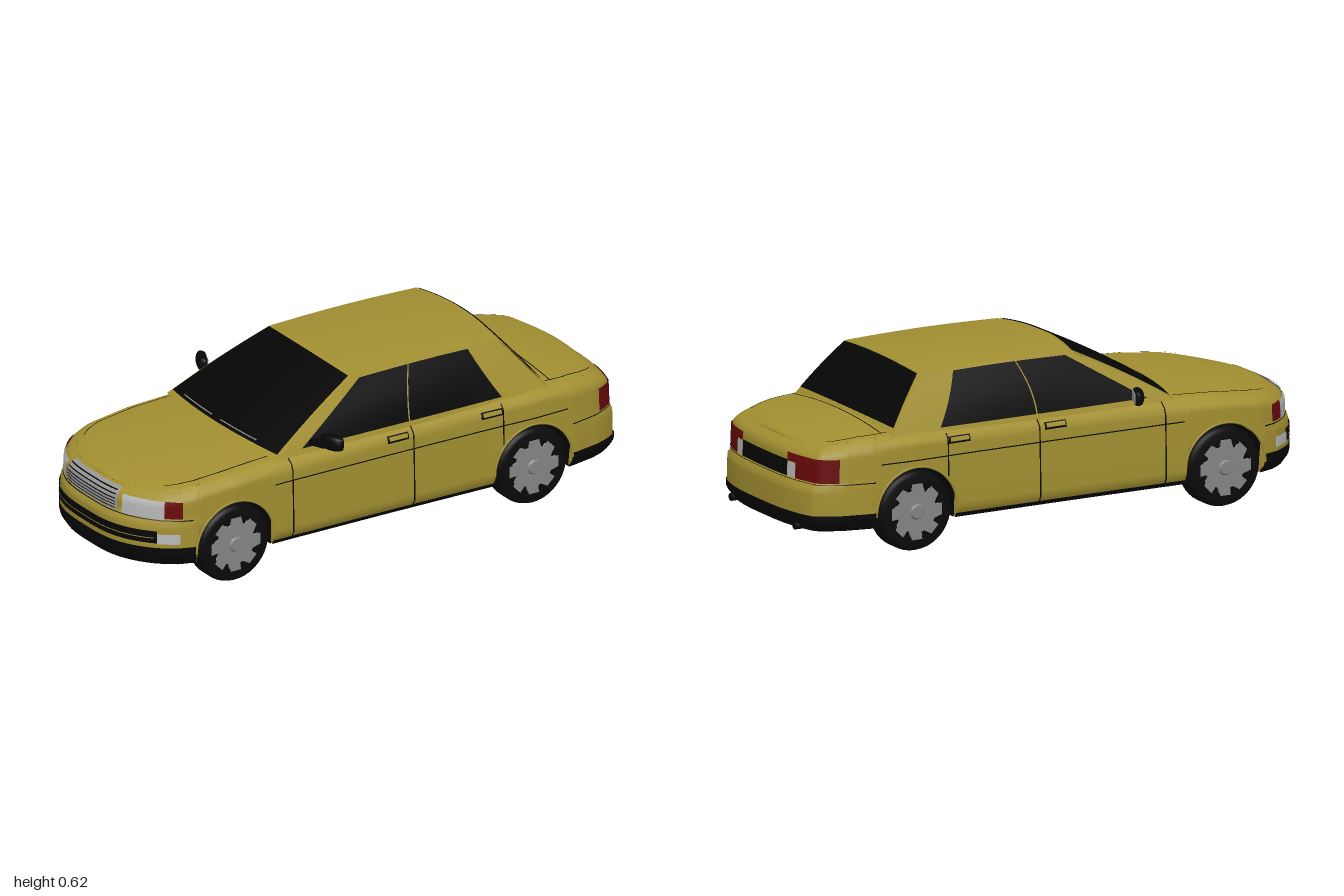
import * as THREE from 'three';

const flat = (name, color) => new THREE.MeshStandardMaterial({ name, color, side: THREE.DoubleSide });
const lerp = THREE.MathUtils.lerp, clamp = THREE.MathUtils.clamp;

// Linear interpolation through [key, value] pairs in rising key order
function table(t, k) {
  if (k <= t[0][0]) return t[0][1];
  for (let i = 1; i < t.length; i++)
    if (k <= t[i][0]) return lerp(t[i - 1][1], t[i][1], (k - t[i - 1][0]) / (t[i][0] - t[i - 1][0]));
  return t[t.length - 1][1];
}

const WIDTH = [[-0.94, 0.30], [-0.9, 0.325], [-0.85, 0.346], [-0.75, 0.367], [-0.575, 0.375], [-0.4, 0.37], [0, 0.367],
  [0.4, 0.369], [0.625, 0.373], [0.785, 0.361], [0.85, 0.338], [0.9, 0.30]];
const TOP = [[-0.985, 0.38], [-0.93, 0.39], [-0.8, 0.404], [-0.63, 0.41], [0, 0.405], [0.45, 0.395],
  [0.6, 0.387], [0.8, 0.37], [0.9, 0.357], [1, 0.347]];
const AXLES = [0.63, -0.575], ARCH = 0.155, HUB_Y = 0.14;
const REAR = 2.44; // perimeter position of the rear centre; 0 is the front centre

// Plan outline: position along the half perimeter, signed by side
function outline(p) {
  const a = Math.abs(p), s = p < 0 ? -1 : 1;
  if (a < 0.3) return [s * a, 1 - 0.1 * (a / 0.3) ** 3];
  if (a <= 2.14) return [s * table(WIDTH, 1.2 - a), 1.2 - a];
  const x = REAR - a;
  return [s * x, -0.98 + 0.04 * (Math.abs(x) / 0.3) ** 3];
}
const atZ = z => 1.2 - z;
const topAt = p => table(TOP, outline(p)[1]);

// Body wall point at perimeter p and height y
function wall(p, y) {
  const [x, z] = outline(p), d = topAt(p) - y;
  let inset = y < 0.13 ? 0.6 * (0.13 - y) : 0.03 * Math.max(0, y - 0.2);
  if (d < 0.04) inset += 0.035 * (1 - Math.max(d, 0) / 0.04) ** 2;
  const end = clamp((Math.abs(z) - 0.6) / 0.35, 0, 1);
  const ledge = 0.016 * clamp((y - 0.25) / 0.012, 0, 1);
  return new THREE.Vector3(x * (1 - inset / 0.37), y, z - Math.sign(z) * end * (inset + ledge));
}
function lowEdge(p) {
  const z = outline(p)[1];
  for (const c of AXLES) {
    const d = ARCH * ARCH - (z - c) ** 2;
    if (d > 0.0016) return HUB_Y + Math.sqrt(d);
  }
  return 0.1;
}
const bodySide = (p, t) => wall(p, lerp(lowEdge(p), topAt(p), t));
function deck(t, p) {
  const e = wall(p, topAt(p));
  return new THREE.Vector3(e.x * t, e.y + 0.024 * Math.min(1, Math.abs(e.x) / 0.33) * (1 - t * t), e.z);
}
function floorPan(t, p) {
  const e = wall(p, 0.1), nearWheel = AXLES.some(c => Math.abs(e.z - c) < 0.152);
  return new THREE.Vector3(e.x * t * (nearWheel ? 0.65 : 1), 0.1, e.z);
}

// Greenhouse surfaces
const bow = t => 1 - t * t;
const slope = (z0, bow0, z1, bow1, dir) => (u, v) => {
  const t = dir * (2 * u - 1), b = bow(t);
  return new THREE.Vector3(t * lerp(0.342, 0.255, v), lerp(0.395 + 0.012 * b, 0.592 + 0.018 * b, v) + 0.007 * Math.sin(Math.PI * v),
    lerp(z0 + bow0 * b, z1 + bow1 * b, v));
};
const windscreen = slope(0.45, 0.04, 0.09, 0.02, 1), backlight = slope(-0.66, -0.02, -0.5, -0.015, -1);
function roof(u, v) {
  const t = 2 * u - 1, b = bow(t);
  return new THREE.Vector3(t * 0.255, 0.592 + 0.018 * b + 0.006 * Math.sin(Math.PI * v),
    lerp(0.09 + 0.02 * b, -0.5 - 0.015 * b, v));
}
function cabinSide(u, v) {
  const a = Math.abs(u), s = u < 0 ? -1 : 1;
  return new THREE.Vector3(s * (lerp(0.342, 0.255, v) + 0.01 * Math.sin(Math.PI * v) * Math.sin(Math.PI * a)),
    lerp(0.395, 0.592, v) + 0.006 * Math.sin(Math.PI * a) * v, lerp(lerp(0.45, -0.66, a), lerp(0.09, -0.5, a), v));
}
// Side glass with slanted ends: lower then upper limits along the cabin side
const sideGlass = (a0, b0, a1, b1) => (u, v) => {
  const a = Math.abs(u);
  return cabinSide((u < 0 ? -1 : 1) * lerp(lerp(a0, b0, a), lerp(a1, b1, a), v), v);
};

export function createModel() {
  const car = new THREE.Group();
  car.name = 'sedan';
  const paint = flat('gold paint', 0xa28f31), glass = flat('dark glass', 0x050505), trim = flat('black trim', 0x060606),
    tyreMat = flat('tyre rubber', 0x0a0a0a), silver = flat('wheel silver', 0x868686), lamp = flat('lamp white', 0xb8b8b8),
    red = flat('lamp red', 0x680909), chrome = flat('grille chrome', 0x9a9a9a);

  const add = (name, geo, mat, parent = car) => {
    const m = new THREE.Mesh(geo, mat);
    m.name = name;
    parent.add(m);
    return m;
  };

  // Grid over a surface function, optionally lifted along its normal
  function patch(name, mat, f, [u0, u1], [v0, v1], nu = 8, nv = 6, out = 0) {
    const pos = [], idx = [], e = 1e-4;
    for (let j = 0; j <= nv; j++) for (let i = 0; i <= nu; i++) {
      const u = lerp(u0, u1, i / nu), v = lerp(v0, v1, j / nv), q = f(u, v);
      if (out) {
        const n = f(u + e, v).sub(q).cross(f(u, v + e).sub(q)).normalize();
        q.addScaledVector(n, out);
      }
      pos.push(q.x, q.y, q.z);
      if (i < nu && j < nv) {
        const a = j * (nu + 1) + i, d = a + nu + 1;
        idx.push(a, a + 1, d + 1, a, d + 1, d);
      }
    }
    const g = new THREE.BufferGeometry();
    g.setAttribute('position', new THREE.Float32BufferAttribute(pos, 3));
    g.setIndex(idx);
    g.computeVertexNormals();
    return add(name, g, mat);
  }
  const both = (name, mat, f, [a, b], ...rest) => {
    patch(name + 'Left', mat, f, [a, b], ...rest);
    patch(name + 'Right', mat, f, [-b, -a], ...rest);
  };

  // Body shell with a dark lining
  patch('bodySides', paint, bodySide, [-REAR, REAR], [0, 1], 500, 18);
  both('lining', trim, bodySide, [0.05, REAR - 0.05], [0, 0.8], 240, 14, -0.007);
  patch('deck', paint, deck, [-1, 1], [0, REAR], 16, 90);
  patch('floorPan', trim, floorPan, [-1, 1], [0, REAR], 2, 160);
  add('innerCore', new THREE.BoxGeometry(0.42, 0.2, 1.7), trim).position.set(0, 0.205, 0.02);

  // Cabin shell and glass
  patch('windscreenFrame', paint, windscreen, [0, 1], [0, 1], 16, 8);
  patch('rearFrame', paint, backlight, [0, 1], [0, 1], 16, 8);
  patch('roof', paint, roof, [0, 1], [0, 1], 16, 12);
  both('cabinSide', paint, cabinSide, [1e-6, 1], [0, 1], 20, 8);
  patch('windscreen', glass, windscreen, [0.016, 0.984], [0.05, 0.985], 16, 8, 0.004);
  patch('rearWindow', glass, backlight, [0.012, 0.988], [0.15, 0.97], 16, 8, 0.004);
  both('sideWindows', glass, sideGlass(0.07, 0.835, 0.075, 0.78), [0.001, 1], [0.09, 0.945], 20, 8, 0.004);
  both('windowDivider', paint, sideGlass(0.484, 0.489, 0.384, 0.391), [0.001, 1], [0.09, 0.945], 1, 8, 0.006);
  for (const u of [0.14, 0.52]) patch('wiper', silver, windscreen, [u, u + 0.3], [0.075, 0.085], 8, 1, 0.007);

  // Front: grille, lamps, bumper intake and valance
  patch('grille', chrome, wall, [-0.155, 0.155], [0.268, 0.342], 14, 8, 0.005);
  for (let i = 0; i < 6; i++) {
    const y = 0.276 + i * 0.0108;
    patch('grilleSlat', trim, wall, [-0.148, 0.148], [y, y + 0.003], 14, 1, 0.008);
  }
  both('headlamp', lamp, wall, [0.175, 0.308], [0.266, 0.328], 14, 6, 0.005);
  both('sideMarker', red, wall, [0.309, 0.362], [0.27, 0.329], 6, 6, 0.005);
  patch('bumperIntake', trim, wall, [-0.298, 0.298], [0.182, 0.226], 30, 3, 0.004);
  patch('intakeBar', paint, wall, [-0.29, 0.29], [0.2, 0.203], 30, 1, 0.006);
  both('fogLamp', lamp, wall, [0.299, 0.362], [0.18, 0.216], 10, 3, 0.006);
  patch('frontValance', trim, wall, [-0.415, 0.415], [0.1, 0.165], 40, 5, 0.004);
  patch('frontBumperGap', trim, wall, [-0.4, 0.4], [0.259, 0.264], 40, 1, 0.004);

  // Rear: lamps, centre panel, valance and exhausts
  both('tailLamp', red, wall, [atZ(-0.872), REAR - 0.2], [0.268, 0.35], 16, 6, 0.005);
  both('tailLampInner', red, wall, [REAR - 0.2, REAR - 0.155], [0.322, 0.35], 4, 3, 0.005);
  both('reverseLamp', lamp, wall, [REAR - 0.199, REAR - 0.156], [0.268, 0.321], 4, 4, 0.005);
  both('rearPanel', trim, wall, [REAR - 0.154, REAR], [0.268, 0.325], 10, 5, 0.004);
  both('rearValance', trim, wall, [atZ(-0.73), REAR], [0.1, 0.155], 40, 5, 0.004);
  both('rearBumperGap', trim, wall, [atZ(-0.74), REAR], [0.259, 0.263], 40, 1, 0.004);
  for (const s of [-1, 1]) {
    const pipe = add('exhaust', new THREE.CylinderGeometry(0.014, 0.014, 0.1, 12), trim);
    pipe.rotation.x = Math.PI / 2;
    pipe.position.set(s * 0.22, 0.108, -0.92);
  }

  // Panel gaps, sills and door handles
  both('sill', trim, wall, [atZ(0.475), atZ(-0.42)], [0.1, 0.116], 20, 2, 0.004);
  both('sideCrease', trim, wall, [atZ(0.47), atZ(-0.72)], [0.319, 0.323], 40, 1, 0.003);
  for (const [z, low] of [[0.4, 0.11], [-0.09, 0.11], [-0.45, 0.25]])
    both('doorGap', trim, wall, [atZ(z), atZ(z - 0.005)], [low, 0.395], 1, 14, 0.003);
  for (const z of [0.012, -0.365]) {
    both('handleRecess', trim, wall, [atZ(z), atZ(z - 0.085)], [0.362, 0.384], 4, 3, 0.004);
    both('doorHandle', paint, wall, [atZ(z - 0.006), atZ(z - 0.079)], [0.369, 0.38], 4, 2, 0.008);
  }
  for (const s of [-1, 1]) {
    patch('bonnetGap', trim, deck, [s * 0.92 - 0.006, s * 0.92 + 0.006], [0.31, atZ(0.46)], 1, 60, 0.004);
    patch('bootGap', trim, deck, [s * 0.93 - 0.006, s * 0.93 + 0.006], [atZ(-0.67), atZ(-0.92)], 1, 30, 0.004);
  }
  patch('bootFrontGap', trim, deck, [-0.93, 0.93], [atZ(-0.692), atZ(-0.697)], 16, 1, 0.004);

  // Wheel geometry
  const tyreGeo = new THREE.LatheGeometry([[0.09, -0.05], [0.124, -0.05], [0.135, -0.042], [0.14, -0.028], [0.14, 0.028],
    [0.135, 0.042], [0.124, 0.05], [0.09, 0.05]].map(([r, h]) => new THREE.Vector2(r, h)), 40).rotateZ(-Math.PI / 2);
  const discGeo = new THREE.CylinderGeometry(0.1, 0.1, 0.084, 32).rotateZ(Math.PI / 2);
  const star = new THREE.Shape();
  for (let i = 0; i < 8; i++) [[-0.26, 0.1], [0.26, 0.1], [0.3, 0.074], [0.485, 0.074]].forEach(([o, r], k) => {
    const a = (i + o) * Math.PI / 4;
    star[i || k ? 'lineTo' : 'moveTo'](r * Math.cos(a), r * Math.sin(a));
  });
  const starGeo = new THREE.ExtrudeGeometry(star, { depth: 0.01, bevelEnabled: false }).rotateY(Math.PI / 2);
  const capGeo = new THREE.CylinderGeometry(0.022, 0.028, 0.008, 20).rotateZ(-Math.PI / 2);
  const wellGeo = new THREE.CylinderGeometry(ARCH, ARCH, 0.16, 32, 1, true, -0.26, Math.PI + 0.52).rotateZ(Math.PI / 2);
  const lipGeo = new THREE.TorusGeometry(ARCH + 0.002, 0.004, 6, 36, Math.PI).rotateY(Math.PI / 2);

  // Wheels, wheel wells and arch lips
  for (const z of AXLES) for (const s of [-1, 1]) {
    const wheel = new THREE.Group();
    wheel.name = (z > 0 ? 'front' : 'rear') + 'Wheel' + (s > 0 ? 'Left' : 'Right');
    wheel.position.set(s * 0.32, HUB_Y, z);
    if (s < 0) wheel.rotation.y = Math.PI;
    car.add(wheel);
    add('tyre', tyreGeo, tyreMat, wheel);
    add('wheelDisc', discGeo, trim, wheel);
    add('alloyRim', starGeo, silver, wheel).position.x = 0.041;
    add('hubCap', capGeo, silver, wheel).position.x = 0.054;
    add('wheelWell', wellGeo, trim).position.set(s * 0.275, HUB_Y, z);
    add('archLip', lipGeo, paint).position.set(s * (Math.abs(wall(atZ(z), 0.28).x) - 0.002), HUB_Y, z);
  }

  // Door mirrors, swept back
  const shellGeo = new THREE.SphereGeometry(1, 16, 10).scale(0.055, 0.034, 0.022);
  const p = shellGeo.attributes.position; // squared-off housing
  for (let i = 0; i < p.count; i++)
    p.setXYZ(i, clamp(p.getX(i), -0.043, 0.043), clamp(p.getY(i), -0.025, 0.025), Math.max(p.getZ(i), -0.012));
  shellGeo.computeVertexNormals();
  for (const s of [-1, 1]) {
    const mirror = new THREE.Group();
    mirror.name = s > 0 ? 'mirrorLeft' : 'mirrorRight';
    mirror.position.set(s * 0.408, 0.445, 0.265);
    mirror.rotation.y = s * 0.4;
    car.add(mirror);
    add('mirrorShell', shellGeo, trim, mirror);
    add('mirrorGlass', new THREE.BoxGeometry(0.07, 0.036, 0.004), chrome, mirror).position.z = -0.013;
    add('mirrorStem', new THREE.BoxGeometry(0.06, 0.018, 0.025), trim, mirror).position.set(s * -0.055, -0.016, 0.002);
  }

  car.rotation.y = -0.269;
  const model = new THREE.Group();
  model.name = 'model';
  model.add(car);
  return model;
}
